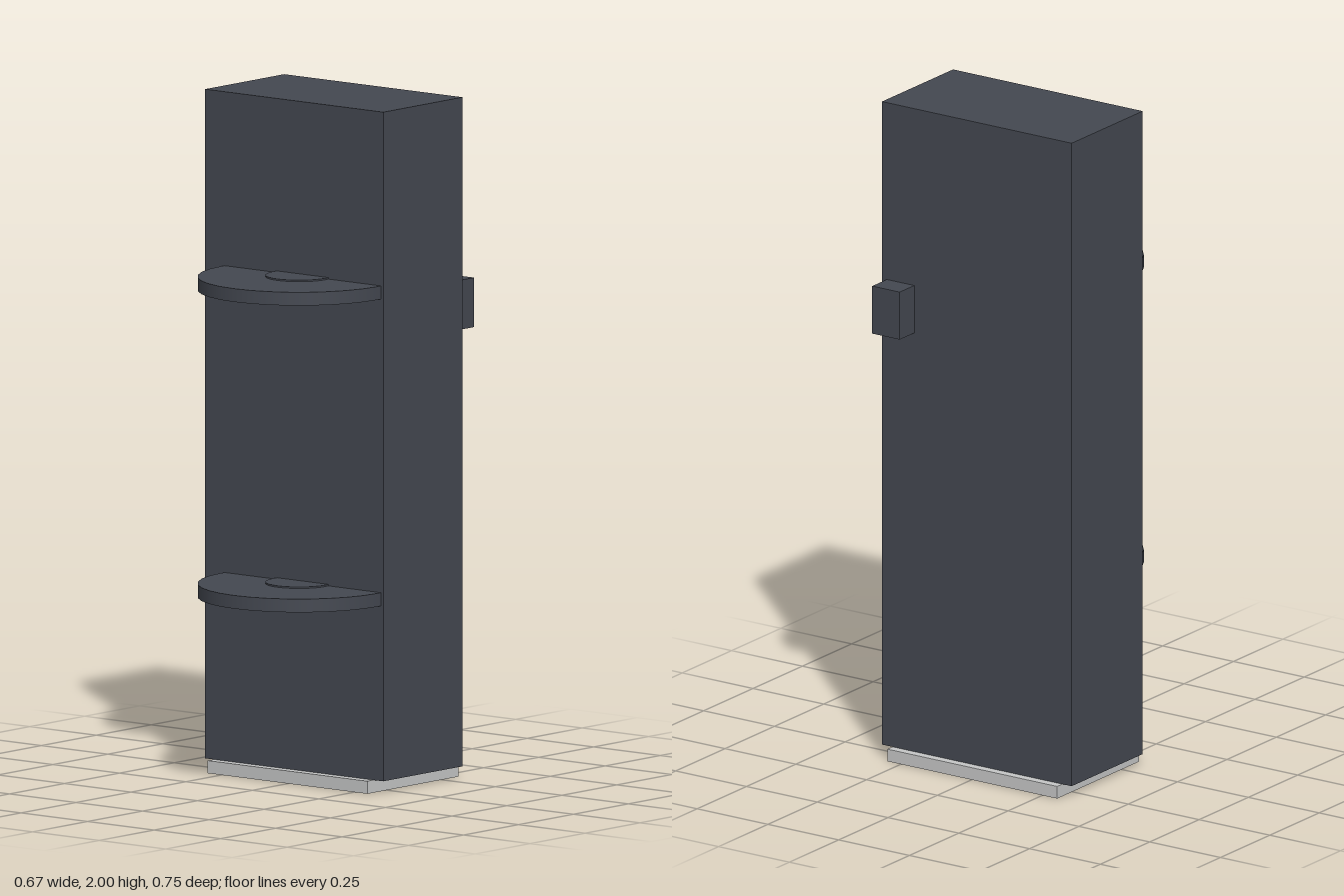
import * as THREE from 'three';

export function createModel() {
  const model = new THREE.Group();
  const darkGrey = new THREE.MeshStandardMaterial({ name: 'darkGrey', color: 0x444851 });
  const lightGrey = new THREE.MeshStandardMaterial({ name: 'lightGrey', color: 0xc6c7c7 });

  function add(name, geometry, material, x, y, z) {
    const mesh = new THREE.Mesh(geometry, material);
    mesh.name = name;
    mesh.position.set(x, y, z);
    model.add(mesh);
  }

  // Box between two corners
  function box(name, material, [x0, y0, z0], [x1, y1, z1]) {
    add(name, new THREE.BoxGeometry(x1 - x0, y1 - y0, z1 - z0), material,
      (x0 + x1) / 2, (y0 + y1) / 2, (z0 + z1) / 2);
  }

  // Tall cabinet on a plinth, with a small block high on the back
  box('cabinet', darkGrey, [-0.335, 0.037, -0.3], [0.335, 2, 0.06]);
  box('plinth', lightGrey, [-0.302, 0, -0.326], [0.298, 0.037, 0.088]);
  box('backBlock', darkGrey, [0.221, 1.315, -0.374], [0.318, 1.46, -0.3]);

  // Two round discs set into the front, each with a slightly thicker hub
  for (const [label, y] of [['lower', 0.57], ['upper', 1.47]]) {
    add(label + 'Disc', new THREE.CylinderGeometry(0.295, 0.295, 0.039, 32), darkGrey, 0.032, y, 0.076);
    add(label + 'Hub', new THREE.CylinderGeometry(0.098, 0.098, 0.048, 32), darkGrey, 0.032, y, 0.076);
  }

  return model;
}
